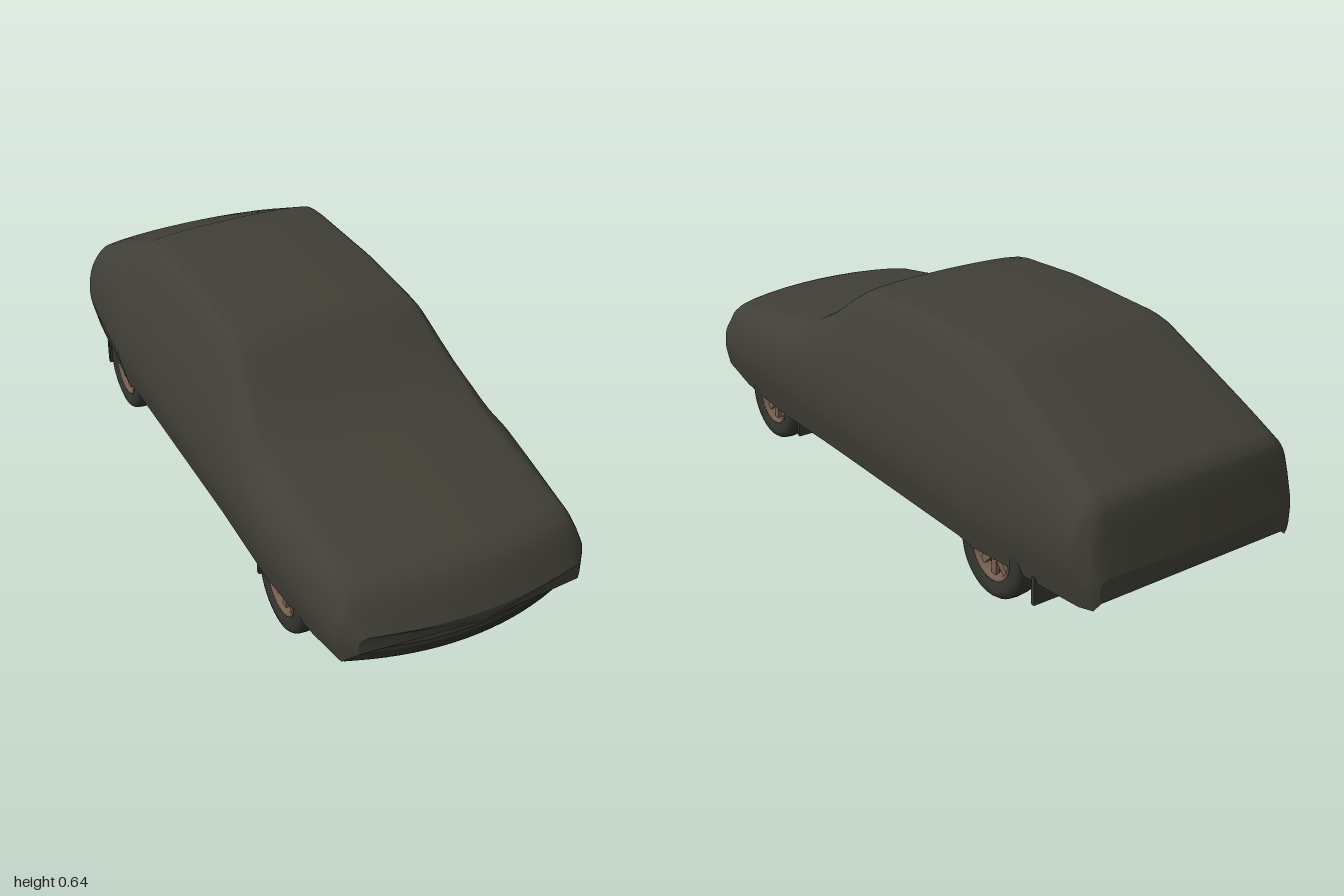
import * as THREE from 'three';

const mat = (name, color, side = THREE.FrontSide) => {
  const m = new THREE.MeshStandardMaterial({ color, side });
  m.name = name;
  return m;
};

// Piecewise linear profile along z, keys running from front to rear
const profile = keys => z => {
  const i = Math.max(1, keys.findIndex(k => k[0] <= z));
  const [[z0, v0], [z1, v1]] = [keys[i - 1], keys[i]];
  return v0 + ((v1 - v0) * (z0 - z)) / (z0 - z1);
};
const topY = profile([[1, 0.245], [0.965, 0.31], [0.94, 0.345], [0.9, 0.37], [0.65, 0.408], [0.42, 0.448], [0.34, 0.48],
  [0.27, 0.52], [0.14, 0.618], [0.11, 0.629], [-0.15, 0.645], [-0.48, 0.637], [-0.53, 0.629], [-0.94, 0.425],
  [-0.965, 0.395], [-1, 0.22]]);
const topHalf = profile([[1, 0.31], [0.965, 0.33], [0.34, 0.325], [0.2, 0.295], [0.11, 0.28], [-0.53, 0.275],
  [-0.94, 0.302], [-1, 0.3]]);
const wideHalf = profile([[1, 0.325], [0.965, 0.365], [0.8, 0.38], [0.5, 0.4], [0.2, 0.393], [-0.48, 0.396],
  [-0.53, 0.404], [-0.59, 0.396], [-0.94, 0.362], [-0.985, 0.34], [-1, 0.32]]);
const wideY = profile([[1, 0.21], [0.5, 0.25], [-0.94, 0.25], [-1, 0.18]]);
const bottomY = profile([[1, 0.19], [0.965, 0.14], [0.8, 0.115], [0.2, 0.112], [-0.94, 0.124], [-0.985, 0.13], [-1, 0.155]]);

// Skin smooth half sections along z and close both ends
function coverGeometry() {
  const N = 48, ROWS = 72, R = N + 1, pos = [], idx = [];
  for (let i = 0; i <= ROWS; i++) {
    const z = Math.sin((0.5 - i / ROWS) * Math.PI);
    const yt = topY(z), yb = bottomY(z), ym = wideY(z), wm = wideHalf(z), wt = topHalf(z);
    const ys = Math.min(0.42, ym + 0.55 * (yt - ym));
    const h = Math.min(0.022, (yt - ys) * 0.4);
    const half = [[wm - 0.2 * (ym - yb), yb], [wm, ym], [wm - 0.17 * (ys - ym), ys], [wt, yt - h], [wt - 0.035, yt - h * 0.5]];
    const pts = [...half, [0, yt], ...half.map(([x, y]) => [-x, y]).reverse()];
    const curve = new THREE.CatmullRomCurve3(pts.map(([x, y]) => new THREE.Vector3(x, y, 0)));
    const bow = z > 0 ? 0.5 * THREE.MathUtils.smoothstep(z, 0.55, 1) : -0.15 * THREE.MathUtils.smoothstep(-z, 0.8, 1);
    for (let j = 0; j <= N; j++) {
      const p = curve.getPoint(j / N);
      pos.push(p.x, p.y, z - bow * p.x * p.x);
    }
  }
  for (let i = 0; i < ROWS; i++)
    for (let j = 0; j < N; j++) {
      const a = i * R + j, c = a + R;
      idx.push(a, c, a + 1, a + 1, c, c + 1);
    }
  for (const [row, y, z] of [[0, 0.215, 1], [ROWS, 0.185, -1]]) {
    const centre = pos.length / 3, s = row * R;
    pos.push(0, y, z);
    for (let j = 0; j <= N; j++) {
      const a = s + j, b = s + (j + 1) % R;
      if (row) idx.push(centre, b, a);
      else idx.push(centre, a, b);
    }
  }
  const g = new THREE.BufferGeometry();
  g.setAttribute('position', new THREE.Float32BufferAttribute(pos, 3));
  g.setIndex(idx);
  g.computeVertexNormals();
  return g;
}

export function createModel() {
  const car = new THREE.Group();
  car.name = 'coveredCar';
  const cloth = mat('coverCloth', 0x403f36, THREE.DoubleSide);
  const rubber = mat('tyreRubber', 0x33332e);
  const rimTan = mat('rimTan', 0x75604f);
  const dark = mat('underbodyDark', 0x272824);
  const steel = mat('chassisGrey', 0x373832);
  const rust = mat('exhaustRust', 0x63392b);

  const add = (name, geo, m, x = 0, y = 0, z = 0, parent = car) => {
    const mesh = new THREE.Mesh(geo, m);
    mesh.name = name;
    mesh.position.set(x, y, z);
    parent.add(mesh);
    return mesh;
  };
  const box = (name, w, h, d, m, x, y, z, parent) => add(name, new THREE.BoxGeometry(w, h, d), m, x, y, z, parent);

  add('fabricCover', coverGeometry(), cloth);

  // Floor pan, with gaps left for the wheels
  box('centreFloor', 0.54, 0.02, 1.74, dark, 0, 0.15, -0.06);
  box('middleFloor', 0.72, 0.02, 0.84, dark, 0, 0.145, 0);
  box('rearFloor', 0.66, 0.02, 0.2, dark, 0, 0.15, -0.86);
  box('transmissionTunnel', 0.1, 0.02, 0.9, steel, 0, 0.137, -0.02);

  // Curved front valance below the cover
  const v = new THREE.Shape();
  v.moveTo(-0.26, -0.74);
  v.lineTo(0.26, -0.74);
  v.lineTo(0.29, -0.85);
  v.quadraticCurveTo(0, -0.96, -0.29, -0.85);
  v.closePath();
  const valance = new THREE.ExtrudeGeometry(v, {
    depth: 0.02, bevelEnabled: true, bevelSize: 0.03, bevelThickness: 0.015, bevelSegments: 3, curveSegments: 16,
  });
  valance.rotateX(-Math.PI / 2);
  add('frontValance', valance, dark, 0, 0.103, 0);

  // Engine underside, crossmembers and axles
  box('engineSump', 0.18, 0.05, 0.26, steel, 0, 0.125, 0.6);
  box('frontCrossmember', 0.46, 0.025, 0.05, steel, 0, 0.095, 0.47);
  box('gearbox', 0.1, 0.035, 0.2, steel, 0, 0.125, 0.37);
  for (const z of [0.58, -0.6]) {
    const axle = add('axle', new THREE.CylinderGeometry(0.014, 0.014, 0.62, 12), steel, 0, 0.13, z);
    axle.rotation.z = Math.PI / 2;
  }
  box('rearCrossmember', 0.52, 0.025, 0.04, steel, 0, 0.13, -0.46);
  box('fuelTank', 0.24, 0.03, 0.2, dark, -0.12, 0.135, -0.84);

  // Exhaust with two silencers
  const path = new THREE.CurvePath();
  const bends = [[0.14, 0.13, 0.7], [0.14, 0.115, 0.6], [0.01, 0.112, 0.27], [0, 0.112, -0.28],
    [0.15, 0.118, -0.46], [0.18, 0.13, -0.6], [0.18, 0.13, -0.95]].map(p => new THREE.Vector3(...p));
  for (let i = 1; i < bends.length; i++) path.add(new THREE.LineCurve3(bends[i - 1], bends[i]));
  add('exhaustPipe', new THREE.TubeGeometry(path, 48, 0.011, 10), rust);
  const silencer = (x, y, z, r, len) => {
    const s = add('silencer', new THREE.CylinderGeometry(r, r, len, 20), rust, x, y, z);
    s.rotation.x = Math.PI / 2;
    s.scale.x = 1.4;
  };
  silencer(0, 0.122, 0.08, 0.022, 0.2);
  silencer(0.18, 0.138, -0.78, 0.027, 0.22);

  // Tyre and rim profiles, turned about the axle
  const turn = pts => new THREE.LatheGeometry(pts.map(p => new THREE.Vector2(...p)), 40).rotateZ(-Math.PI / 2);
  const tyre = turn([[0.078, -0.028], [0.09, -0.036], [0.108, -0.038], [0.122, -0.034], [0.129, -0.024], [0.131, 0],
    [0.129, 0.024], [0.122, 0.034], [0.108, 0.038], [0.09, 0.036], [0.078, 0.028]]);
  const rim = turn([[0.07, -0.03], [0.082, -0.03], [0.082, 0.03], [0.076, 0.032], [0.07, 0.027], [0.066, 0.005], [0.07, -0.03]]);
  const wheel = (side, z, label) => {
    const w = new THREE.Group();
    w.name = label;
    w.position.set(side * 0.333, 0.131, z);
    w.scale.x = side;
    car.add(w);
    add('tyre', tyre, rubber, 0, 0, 0, w);
    add('rim', rim, rimTan, 0, 0, 0, w);
    const turned = (name, r, len, m, x) =>
      add(name, new THREE.CylinderGeometry(r, r, len, 24).rotateZ(Math.PI / 2), m, x, 0, 0, w);
    turned('brakeDisc', 0.067, 0.012, dark, -0.005);
    turned('hub', 0.024, 0.05, rimTan, 0);
    for (let i = 0; i < 8; i++) {
      const a = (i / 8) * Math.PI * 2;
      const spoke = box('spoke', 0.012, 0.055, 0.02, rimTan, 0.014, Math.cos(a) * 0.044, Math.sin(a) * 0.044, w);
      spoke.rotation.x = a;
    }
  };

  for (const s of [1, -1]) {
    wheel(s, 0.58, 'frontWheel');
    wheel(s, -0.6, 'rearWheel');
    // Mud flaps, sills, floor rails and suspension arms
    box('frontMudFlap', 0.12, 0.075, 0.012, steel, s * 0.3, 0.097, 0.425);
    box('rearMudFlap', 0.12, 0.08, 0.012, steel, s * 0.3, 0.1, -0.775);
    box('sill', 0.02, 0.02, 0.8, rimTan, s * 0.345, 0.127, -0.01);
    box('jackingRail', 0.03, 0.035, 0.4, steel, s * 0.29, 0.118, 0.22);
    box('floorRail', 0.035, 0.015, 0.7, steel, s * 0.16, 0.133, -0.02);
    box('floorPatch', 0.09, 0.006, 0.16, rust, s * 0.24, 0.134, -0.2);
    const arm = box('trailingArm', 0.025, 0.02, 0.24, steel, s * 0.22, 0.125, -0.52);
    arm.rotation.y = s * 0.35;
    const wish = box('frontArm', 0.2, 0.015, 0.035, steel, s * 0.2, 0.11, 0.53);
    wish.rotation.y = s * 0.3;
  }
  return car;
}
